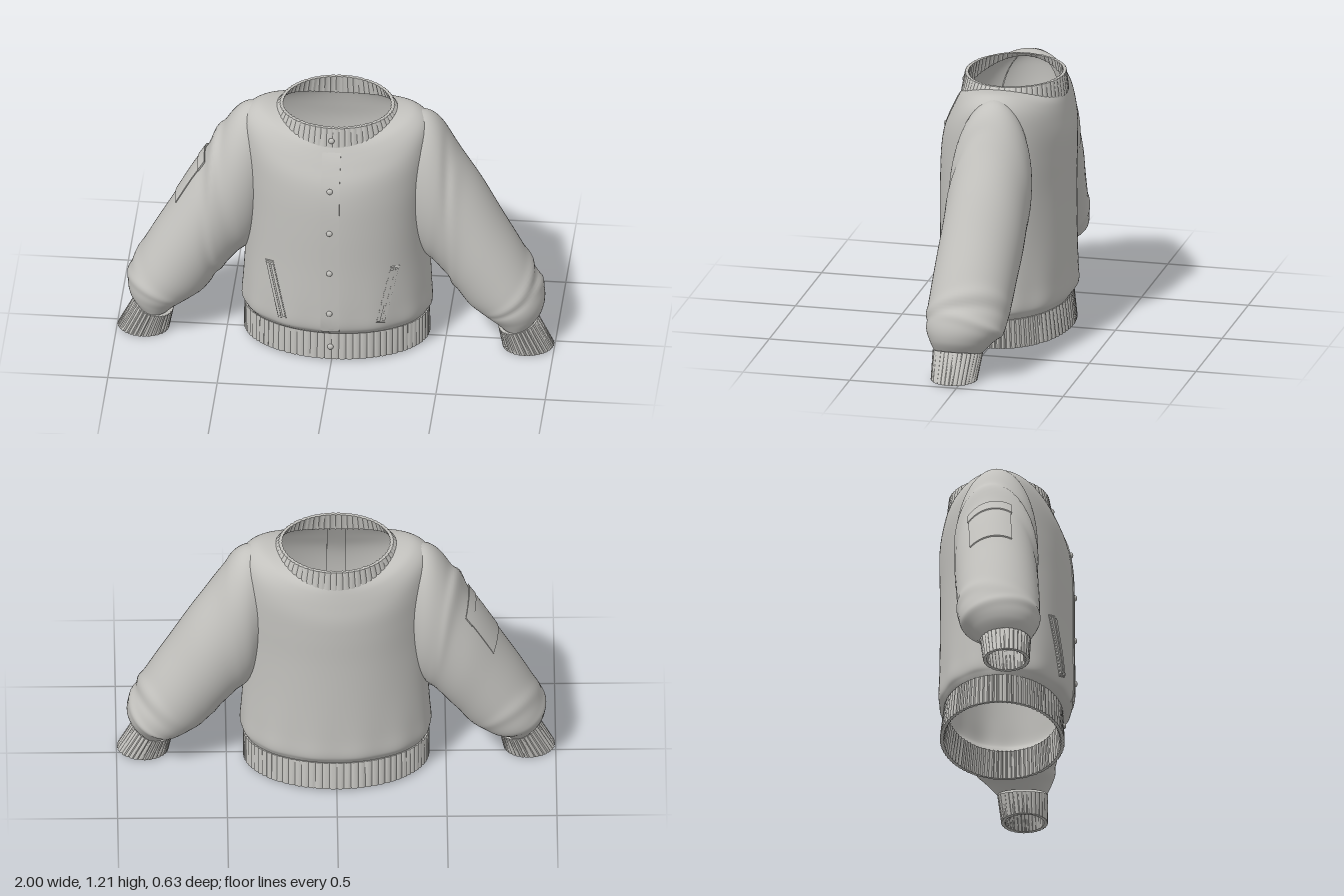
import * as THREE from 'three';
import { toCreasedNormals } from 'three/addons/utils/BufferGeometryUtils.js';

const { cos, sin, exp, PI, floor, min, max, sqrt } = Math;
const fabric = new THREE.MeshStandardMaterial({ color: 0xc3c2be, side: THREE.DoubleSide });
fabric.name = 'greyFabric';

// Smooth (Catmull-Rom) sample of a list of cross-sections, t in 0..1
function sample(rows, t) {
  const n = rows.length - 1, i = min(n - 1, floor(t * n)), f = t * n - i;
  const [a, b, c, d] = [-1, 0, 1, 2].map((k) => rows[min(n, max(0, i + k))]);
  return b.map((_, k) => b[k] + 0.5 * f * (c[k] - a[k] + f * (2 * a[k] - 5 * b[k] + 4 * c[k] - d[k]
    + f * (3 * (b[k] - c[k]) + d[k] - a[k]))));
}

// Skin closed rings: point(i, j) for row i and position j around the ring
function loft(name, rows, segs, point, crease) {
  const pos = [], idx = [];
  for (let i = 0; i < rows; i++) for (let j = 0; j < segs; j++) pos.push(...point(i, j));
  for (let i = 0; i < rows - 1; i++) for (let j = 0; j < segs; j++) {
    const a = i * segs + j, b = i * segs + (j + 1) % segs;
    idx.push(a, a + segs, b, b, a + segs, b + segs);
  }
  let geo = new THREE.BufferGeometry();
  geo.setAttribute('position', new THREE.Float32BufferAttribute(pos, 3));
  geo.setIndex(idx);
  if (crease) geo = toCreasedNormals(geo, crease); else geo.computeVertexNormals();
  const mesh = new THREE.Mesh(geo, fabric);
  mesh.name = name;
  return mesh;
}

// Torso sections: [y, lift at the sides, half width, front z, back z]
const TORSO = [
  [0.135, 0, 0.41, 0.245, -0.275], [0.165, 0, 0.425, 0.282, -0.297], [0.2, 0, 0.435, 0.304, -0.31],
  [0.3, 0, 0.43, 0.308, -0.307], [0.5, 0, 0.42, 0.306, -0.304], [0.7, 0, 0.42, 0.306, -0.303],
  [0.85, 0.05, 0.43, 0.3, -0.306], [0.95, 0.11, 0.435, 0.283, -0.304], [1.03, 0.125, 0.42, 0.25, -0.291],
  [1.09, 0.11, 0.36, 0.222, -0.278], [1.125, 0.075, 0.275, 0.205, -0.268],
];
const ZC = -0.02;

function bodyPoint([y, lift, rx, zf, zb], a, k = 0) {
  const s = sin(a), c = cos(a);
  return [c * (rx + k), y + lift * c * c, ZC + s * ((s > 0 ? zf - ZC : ZC - zb) + k)];
}

// Front surface depth of the torso at (x, y)
function frontZ(x, y) {
  let lo = 0, hi = 1;
  for (let i = 0; i < 24; i++) {
    const m = (lo + hi) / 2;
    if (sample(TORSO, m)[0] < y) lo = m; else hi = m;
  }
  const [, , rx, zf] = sample(TORSO, lo);
  return ZC + (zf - ZC) * sqrt(max(0, 1 - (x / rx) ** 2));
}

// Sleeve sections: [outer x, outer y, inner x, inner y, front z, back z]
const SLEEVE = [
  [0.34, 1.19, 0.34, 0.6, 0.12, -0.17], [0.42, 1.18, 0.37, 0.5, 0.15, -0.205],
  [0.485, 1.12, 0.41, 0.44, 0.163, -0.215], [0.56, 0.99, 0.45, 0.405, 0.163, -0.212],
  [0.66, 0.83, 0.5, 0.345, 0.168, -0.21], [0.755, 0.66, 0.55, 0.28, 0.178, -0.2],
  [0.84, 0.51, 0.6, 0.215, 0.185, -0.192], [0.905, 0.385, 0.645, 0.183, 0.188, -0.185],
  [0.95, 0.275, 0.685, 0.16, 0.184, -0.17], [0.945, 0.195, 0.72, 0.14, 0.165, -0.12],
  [0.905, 0.13, 0.755, 0.115, 0.145, -0.08],
];
// Cloth folds per sleeve: [t, angle, strength, width along, slant]
const FOLDS = {
  left: [[0.69, 0.2, 0.05, 0.025, 0.04], [0.78, -0.6, 0.05, 0.022, -0.04], [0.73, 0.4, -0.04, 0.02, 0.03],
    [0.4, 2.2, 0.04, 0.03, 0.1], [0.33, 1.6, -0.04, 0.03, 0.1]],
  right: [[0.3, 0.1, 0.07, 0.03, 0.04], [0.36, 1.2, 0.04, 0.025, 0.08], [0.42, 1.8, -0.04, 0.03, 0.08],
    [0.7, -0.5, 0.04, 0.03, 0.05], [0.79, 0.3, 0.05, 0.025, -0.03]],
};

function tubePoint([ox, oy, ix, iy, zf, zb], a, k, side) {
  const c = cos(a) * k, s = sin(a) * k;
  return [side * ((ox + ix) / 2 + c * (ox - ix) / 2), (oy + iy) / 2 + c * (oy - iy) / 2,
    (zf + zb) / 2 + s * (zf - zb) / 2];
}

function sleevePoint(t, a, side, k = 1) {
  for (const [ft, fa, amp, w, slant] of FOLDS[side > 0 ? 'left' : 'right']) {
    k += amp * exp(-(((t - ft - slant * sin(a - fa)) / w) ** 2)) * max(0, 0.35 + 0.65 * cos(a - fa));
  }
  return tubePoint(sample(SLEEVE, t), a, k, side);
}

// Knitted band: four sections run outer bottom, outer top, inner top, inner bottom and back
function ribBand(name, sections, segs, point, depth) {
  const loop = [...sections, sections[0]];
  return loft(name, loop.length, segs, (i, j) => {
    const rib = j % 4 === 0 ? -depth : 0;
    return point(loop[i], (j / segs) * PI * 2, rib);
  }, 0.7);
}

// Raised strip laid on the torso front from (x0, y0) to (x1, y1)
function frontStrip(name, x0, y0, x1, y1, width, height) {
  const n = 24, len = Math.hypot(x1 - x0, y1 - y0);
  const nx = (y1 - y0) / len * width / 2, ny = -(x1 - x0) / len * width / 2;
  return loft(name, n + 1, 6, (i, j) => {
    const f = i / n, u = [-1, -1, 0, 1, 1, 0][j];
    const top = j > 0 && j < 4 && i > 0 && i < n;
    const x = x0 + (x1 - x0) * f + nx * u, y = y0 + (y1 - y0) * f + ny * u;
    return [x, y, frontZ(x, y) + (top ? height : -0.008)];
  }, 0.6);
}

// Raised patch on the outside of a sleeve
function sleevePatch(name, side, t0, t1, a0, a1, k) {
  const n = 10;
  return loft(name, n + 3, 14, (i, j) => {
    const t = t0 + (t1 - t0) * min(1, max(0, (i - 1) / n));
    const a = a0 + (a1 - a0) * min(1, max(0, (j - 1) / 11));
    const edge = i === 0 || i === n + 2 || j === 0 || j === 13;
    return sleevePoint(t, a, side, edge ? 0.98 : k);
  }, 0.6);
}

export function createModel() {
  const jacket = new THREE.Group();
  jacket.name = 'bomberJacket';

  // Body with gentle drape
  jacket.add(loft('torso', 61, 96, (i, j) => {
    const t = i / 60, a = (j / 96) * PI * 2;
    const drape = 0.004 * sin(t * PI) * sin(5 * a + 7 * t) * cos(a) ** 2
      + 0.003 * exp(-(((t - 0.2) / 0.12) ** 2)) * sin(13 * a);
    return bodyPoint(sample(TORSO, t), a, drape);
  }));

  // Waistband and collar
  jacket.add(ribBand('waistband', [
    [0.01, 0, 0.425, 0.264, -0.304], [0.145, 0, 0.424, 0.258, -0.288],
    [0.145, 0, 0.405, 0.238, -0.268], [0.01, 0, 0.41, 0.248, -0.288],
  ], 320, bodyPoint, 0.005));
  jacket.add(ribBand('collar', [
    [1.118, 0.075, 0.28, 0.213, -0.274], [1.21, 0, 0.262, 0.196, -0.263],
    [1.21, 0, 0.247, 0.181, -0.248], [1.118, 0.075, 0.262, 0.195, -0.258],
  ], 240, bodyPoint, 0.004));

  for (const side of [1, -1]) {
    const label = side > 0 ? 'left' : 'right';
    // Sleeve and cuff
    jacket.add(loft(label + 'Sleeve', 91, 48, (i, j) => sleevePoint(i / 90, (j / 48) * PI * 2, side)));
    jacket.add(ribBand(label + 'Cuff', [
      [0.998, 0.008, 0.762, 0, 0.146, -0.066], [0.925, 0.145, 0.742, 0.1, 0.15, -0.082],
      [0.905, 0.14, 0.762, 0.105, 0.132, -0.064], [0.98, 0.008, 0.78, 0.001, 0.13, -0.05],
    ], 128, (sec, a, rib) => tubePoint(sec, a, 1 + rib, side), 0.04));
    // Slanted welt pocket: backing plus two lips
    jacket.add(frontStrip(label + 'PocketWelt', side * 0.29, 0.51, side * 0.222, 0.21, 0.04, 0.005));
    for (const d of [-0.011, 0.011]) {
      jacket.add(frontStrip(label + 'PocketLip', side * 0.288 + d, 0.5, side * 0.224 + d, 0.22, 0.014, 0.011));
    }
  }

  // Pocket with flap on the right sleeve
  jacket.add(sleevePatch('sleevePocket', -1, 0.35, 0.48, -0.68, 0.38, 1.025));
  jacket.add(sleevePatch('sleevePocketFlap', -1, 0.345, 0.375, -0.7, 0.4, 1.045));

  // Front placket and snap buttons
  jacket.add(frontStrip('placket', -0.003, 0.14, -0.003, 1.122, 0.085, 0.005));
  for (const y of [0.075, 0.285, 0.5, 0.715, 0.93, 1.15]) {
    const button = new THREE.Mesh(new THREE.SphereGeometry(0.014, 16, 10), fabric);
    button.name = 'snapButton';
    button.scale.z = 0.7;
    button.position.set(-0.005, y, y < 0.14 ? 0.262 : y > 1.12 ? 0.208 : frontZ(0, y) + 0.006);
    jacket.add(button);
  }
  return jacket;
}
